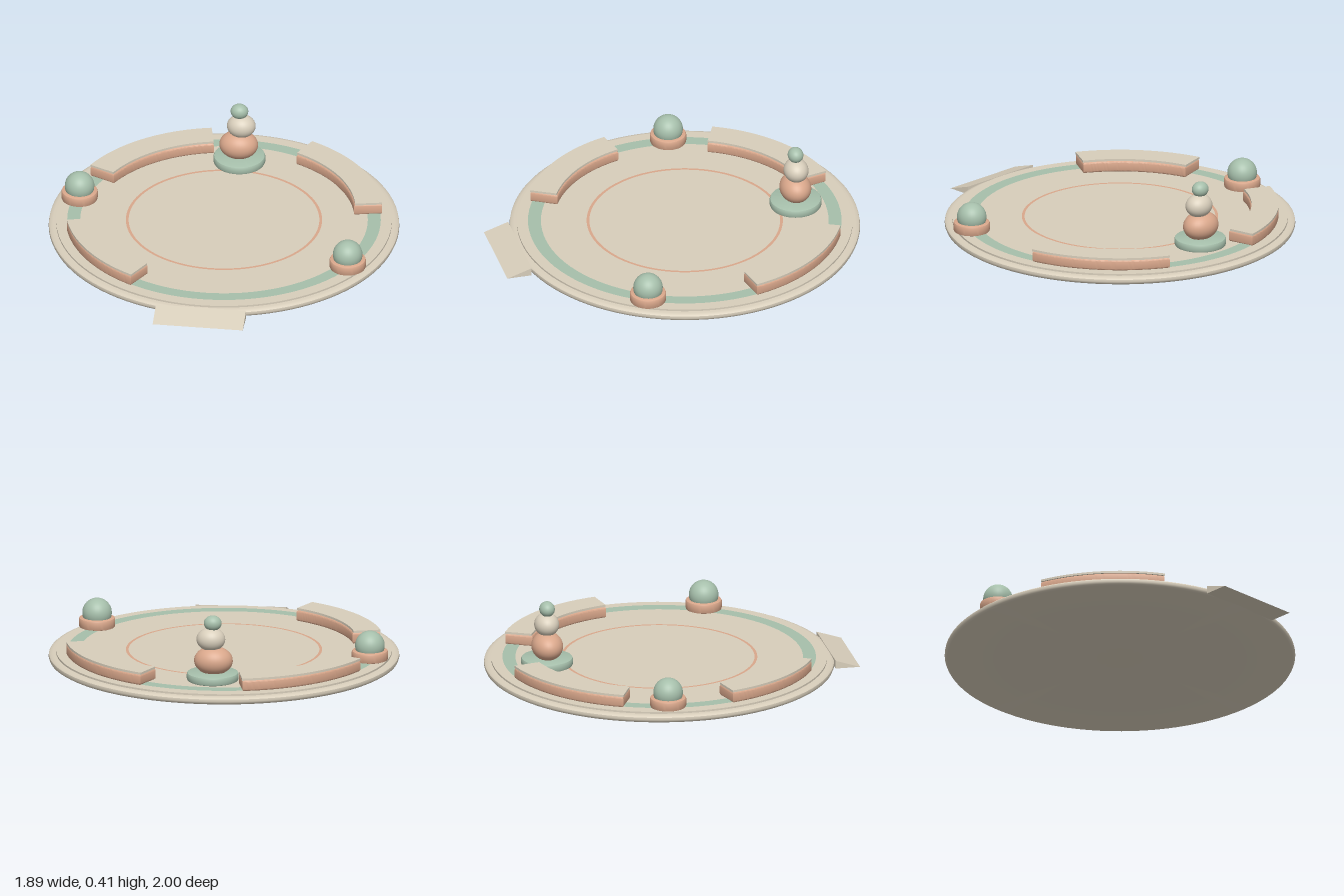
import * as THREE from 'three';
import { toCreasedNormals } from 'three/addons/utils/BufferGeometryUtils.js';

const mat = (name, color) => {
  const m = new THREE.MeshStandardMaterial({ color });
  m.name = name;
  return m;
};

export function createModel() {
  const cream = mat('cream stone', 0xd8cebb);
  const clay = mat('terracotta', 0xd9a78b);
  const sage = mat('sage green', 0xa6bfab);

  const model = new THREE.Group();
  model.name = 'circularPlaza';
  const plaza = new THREE.Group(); // everything round shares this centre
  plaza.name = 'plaza';
  plaza.position.z = -0.055;
  model.add(plaza);

  const add = (parent, name, geometry, material, x = 0, y = 0, z = 0) => {
    const mesh = new THREE.Mesh(geometry, material);
    mesh.name = name;
    mesh.position.set(x, y, z);
    parent.add(mesh);
    return mesh;
  };

  const lathe = (points, segments) => toCreasedNormals(
    new THREE.LatheGeometry(points.map(([r, y]) => new THREE.Vector2(r, y)), segments), 0.65);

  // Disc with softened edges, standing on y = 0
  const puck = (r, h, b, segments = 48) => lathe([
    [0, 0], [r - b, 0], [r - b * 0.3, b * 0.3], [r, b],
    [r, h - b], [r - b * 0.3, h - b * 0.3], [r - b, h], [0, h]], segments);

  // Ring sector lying flat, angles in degrees seen from above
  const sector = (r0, r1, a0, a1, height, bevel) => {
    const s = THREE.MathUtils.degToRad(a0), e = THREE.MathUtils.degToRad(a1);
    const shape = new THREE.Shape();
    shape.absarc(0, 0, r1, s, e, false);
    shape.absarc(0, 0, r0, e, s, true);
    shape.closePath();
    const g = new THREE.ExtrudeGeometry(shape, {
      depth: height - 2 * bevel, curveSegments: 32, bevelEnabled: bevel > 0,
      bevelSize: bevel, bevelThickness: bevel, bevelSegments: 3,
    });
    g.translate(0, 0, bevel);
    g.rotateX(-Math.PI / 2);
    return toCreasedNormals(g, 0.6);
  };

  // Floor slab with a rounded rim and a raised paving disc
  add(plaza, 'rim', lathe([
    [0, 0], [0.93, 0], [0.94, 0.006], [0.945, 0.018], [0.943, 0.03],
    [0.935, 0.037], [0.92, 0.04], [0, 0.04]], 96), cream);
  add(plaza, 'floor', new THREE.CylinderGeometry(0.905, 0.905, 0.012, 96), cream, 0, 0.044);

  // Painted floor rings
  const ring = (name, r0, r1, material) => {
    const g = new THREE.RingGeometry(r0, r1, 96);
    g.rotateX(-Math.PI / 2);
    add(plaza, name, g, material, 0, 0.0525);
  };
  ring('greenBand', 0.775, 0.845, sage);
  ring('innerRing', 0.514, 0.529, clay);

  // Curved benches
  for (const [a0, a1] of [[12, 64], [102.2, 155], [195.6, 241.9]]) {
    const bench = new THREE.Group();
    bench.name = 'bench';
    plaza.add(bench);
    add(bench, 'benchBody', sector(0.713, 0.845, a0 + 0.8, a1 - 0.8, 0.06, 0.01), clay, 0, 0.05);
    add(bench, 'benchSeat', sector(0.709, 0.855, a0, a1, 0.012, 0), cream, 0, 0.11);
  }

  // Planters with round shrubs
  for (const [x, z] of [[-0.802, -0.122], [0.727, 0.4]]) {
    const planter = new THREE.Group();
    planter.name = 'planter';
    planter.position.set(x, 0.05, z);
    plaza.add(planter);
    add(planter, 'planterPot', puck(0.098, 0.055, 0.01), clay);
    add(planter, 'shrub', new THREE.SphereGeometry(0.08, 32, 24), sage, 0, 0.08);
  }

  // Stacked pebble sculpture on a plinth
  const sculpture = new THREE.Group();
  sculpture.name = 'sculpture';
  sculpture.position.set(0, 0, -0.618);
  plaza.add(sculpture);
  add(sculpture, 'plinth', puck(0.14, 0.047, 0.012), sage, 0, 0.05);
  const pebbles = [
    ['lowerPebble', clay, -0.004, 0.16, 0, 0.105, 0.078, 0.085],
    ['middlePebble', cream, 0.01, 0.278, 0, 0.078, 0.064, 0.067],
    ['upperPebble', sage, 0, 0.368, 0, 0.048, 0.042, 0.042],
  ];
  for (const [name, material, x, y, z, sx, sy, sz] of pebbles) {
    add(sculpture, name, new THREE.SphereGeometry(1, 32, 24), material, x, y, z).scale.set(sx, sy, sz);
  }

  // Entrance ramp: wedge profile extruded across x
  const wedge = new THREE.Shape([
    new THREE.Vector2(-1, 0), new THREE.Vector2(-0.865, 0), new THREE.Vector2(-0.865, 0.044)]);
  const ramp = new THREE.ExtrudeGeometry(wedge, { depth: 0.49, bevelEnabled: false });
  ramp.translate(0, 0, -0.245);
  ramp.rotateY(Math.PI / 2);
  add(model, 'ramp', ramp, cream);

  return model;
}
